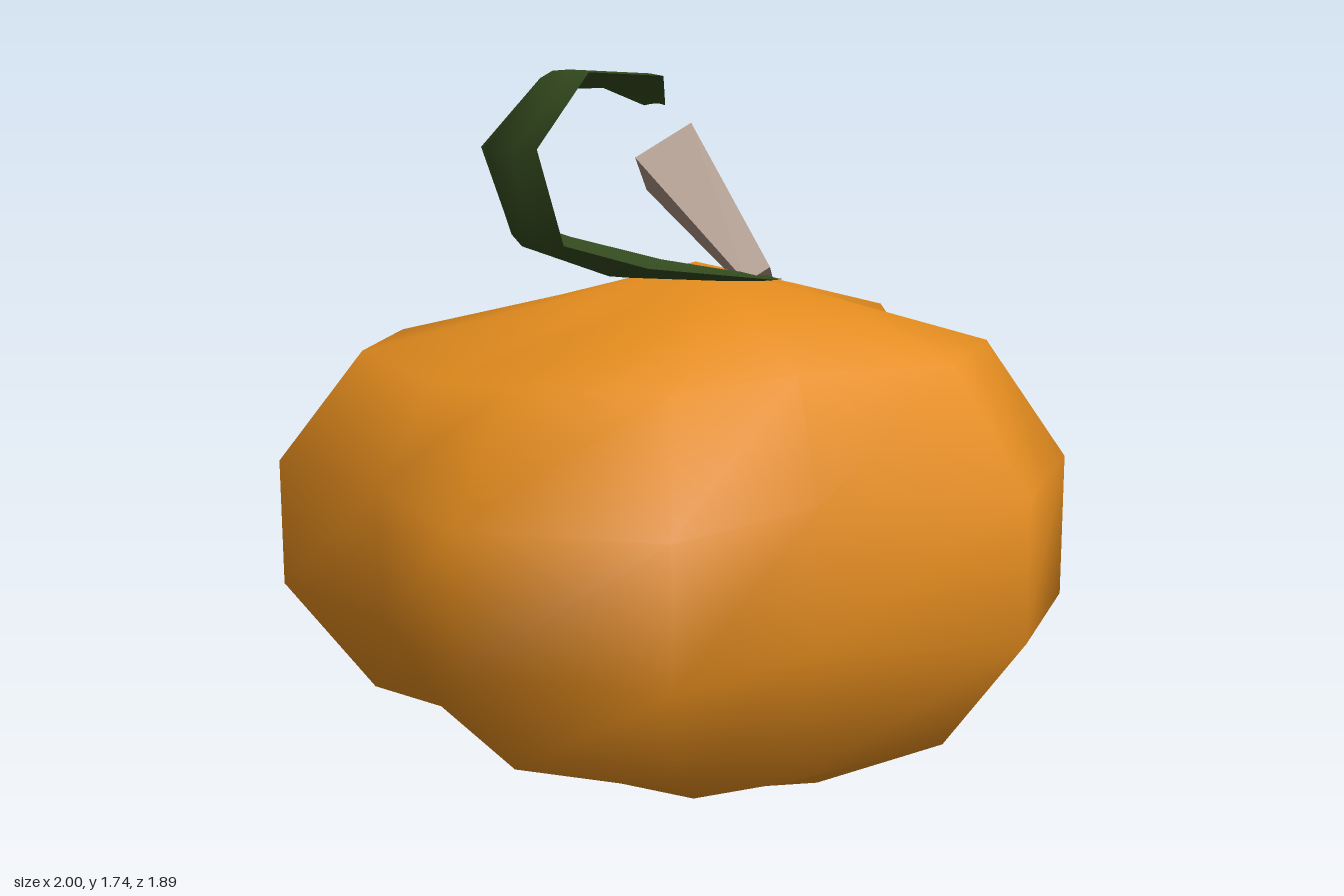
import * as THREE from 'three';

const skin = new THREE.MeshStandardMaterial({ name: 'pumpkin orange', color: 0xe48c1e });
const bark = new THREE.MeshStandardMaterial({ name: 'stem brown', color: 0xa48d7e, flatShading: true });
const green = new THREE.MeshStandardMaterial({ name: 'leaf green', color: 0x32481d, side: THREE.DoubleSide });

function meshFrom(name, points, index, material) {
  const geometry = new THREE.BufferGeometry();
  geometry.setAttribute('position', new THREE.Float32BufferAttribute(points, 3));
  geometry.setIndex(index);
  geometry.computeVertexNormals();
  const mesh = new THREE.Mesh(geometry, material);
  mesh.name = name;
  return mesh;
}

// Lobed body: one irregular outline, scaled ring by ring from bottom to top
function pumpkinBody() {
  // x, z, height of the lowest ring (the underside rises toward the back);
  // valleys add the heights of their own lower and upper shoulders
  const outline = [
    [-0.46, -0.95, 0.13], [0, -0.87, 0.13, 0.25, 1.04], [0.49, -0.885, 0.12], [0.66, -0.5, 0.1, 0.28, 0.99],
    [1, -0.06, 0.08], [0.69, 0.3, 0.05, 0.31, 0.975], [0.5, 0.75, 0.03], [0.06, 0.945, 0],
    [-0.33, 0.66, 0, 0.14, 1.08], [-0.77, 0.65, 0.02], [-1, 0.24, 0.04],
    [-0.85, -0.22, 0.09, 0.25, 1.03], [-0.83, -0.66, 0.12],
  ];
  // scale, height, sideways tilt, x offset, column of the valley shoulder height
  const rings = [
    [0.785, 0.195, -0.02, -0.015, 3], [1, 0.475, -0.015, 0], [1, 0.81, 0.012, 0],
    [0.79, 1.09, 0.022, -0.015, 4], [0.37, 1.19, 0.01, 0],
  ];
  const valleyScale = 0.84;
  const n = outline.length;
  const points = [];
  const index = [];
  for (const [x, z, y] of outline) points.push(x * 0.39, y, z * 0.39);
  for (const [s, y, tilt, dx, column] of rings)
    for (const entry of outline) {
      const [x, z] = entry;
      const shoulder = entry[column];
      if (shoulder !== undefined) points.push(x * valleyScale, shoulder, z * valleyScale);
      else points.push(x * s + dx, y + x * tilt, z * s);
    }
  const last = n * rings.length;
  const bottom = last + n;
  const top = bottom + 1;
  points.push(0, 0.015, -0.14, 0.01, 1.278, -0.04);
  for (let j = 0; j < n; j++) {
    const k = (j + 1) % n;
    for (let r = 0; r < rings.length; r++) {
      const a = r * n + j, b = r * n + k;
      index.push(a, a + n, b, b, a + n, b + n);
    }
    index.push(bottom, j, k, last + j, top, last + k);
  }
  return meshFrom('pumpkinBody', points, index, skin);
}

// Four-sided stem, flaring upward and leaning back
function pumpkinStem() {
  const mesh = new THREE.Mesh(new THREE.CylinderGeometry(0.12, 0.05, 0.44, 4), bark);
  mesh.name = 'stem';
  mesh.position.set(0.08, 1.385, -0.045);
  mesh.rotation.x = -0.817;
  return mesh;
}

// Curled leaf: front and back edges joined by bowed cross-sections
function curledLeaf() {
  // front edge, back edge, depth of the bow relative to the width
  const sections = [
    [[0.08, 1.245, 0.2], [0.08, 1.25, 0.14], 0.1],
    [[0, 1.25, 0.24], [0, 1.265, 0.07], 0.12],
    [[-0.12, 1.265, 0.25], [-0.15, 1.295, 0], 0.16],
    [[-0.4, 1.3, 0.21], [-0.35, 1.355, -0.11], 0.17],
    [[-0.61, 1.36, 0.16], [-0.5, 1.41, -0.17], 0.14],
    [[-0.67, 1.57, 0.145], [-0.56, 1.57, -0.18], 0.1],
    [[-0.53, 1.735, 0.16], [-0.46, 1.7, -0.12], 0.1],
    [[-0.32, 1.73, 0.18], [-0.33, 1.705, -0.01], 0.1],
    [[-0.255, 1.665, 0.12], [-0.255, 1.665, 0.05], 0.1],
  ];
  const middle = new THREE.Vector3(-0.38, 1.56, 0);
  const across = 4;
  const points = [];
  const index = [];
  sections.forEach(([front, back, bow], i) => {
    const f = new THREE.Vector3(...front), b = new THREE.Vector3(...back);
    const width = f.distanceTo(b);
    for (let j = 0; j <= across; j++) {
      const t = j / across;
      const p = f.clone().lerp(b, t);
      // bow away from the centre of the curl
      const out = p.clone().sub(middle).setZ(0).normalize();
      p.addScaledVector(out, Math.sin(Math.PI * t) * width * bow);
      points.push(p.x, p.y, p.z);
      if (i < sections.length - 1 && j < across) {
        const a = i * (across + 1) + j, c = a + across + 1;
        index.push(a, a + 1, c, a + 1, c + 1, c);
      }
    }
  });
  return meshFrom('curledLeaf', points, index, green);
}

export function createModel() {
  const group = new THREE.Group();
  group.name = 'pumpkin';
  group.add(pumpkinBody(), pumpkinStem(), curledLeaf());
  return group;
}
